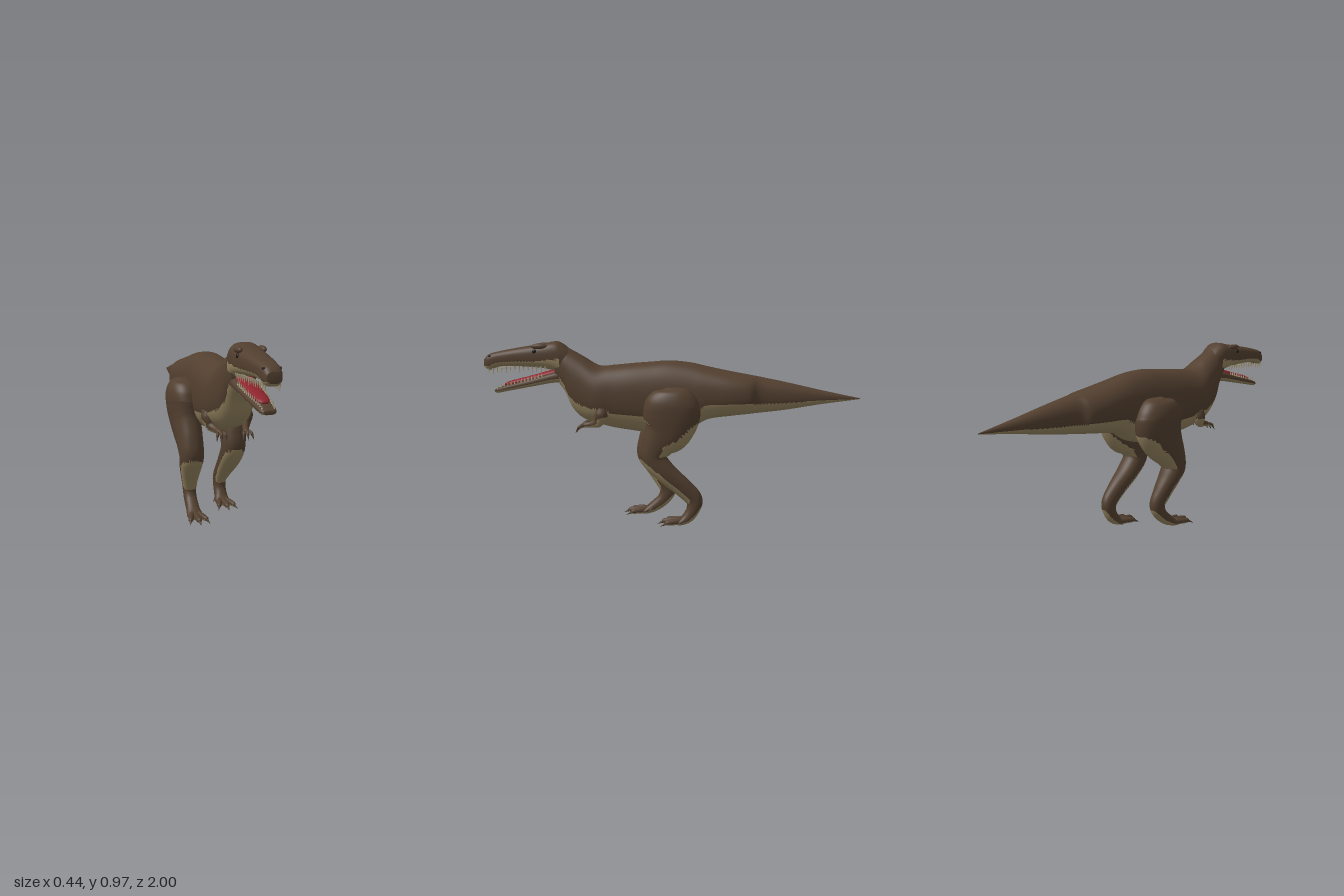
import * as THREE from 'three';

const mat = (name, color) => Object.assign(new THREE.MeshStandardMaterial({ color }), { name });

export function createModel() {
  const hide = mat('brown hide', 0x523f2f);
  const belly = mat('tan belly', 0x94835f);
  const tongueRed = mat('tongue red', 0x8c242c);
  const ivory = mat('tooth ivory', 0xb3a88a);
  const dark = mat('eye black', 0x1a1411);
  const clawMat = mat('claw brown', 0x4a3b2d);
  const model = new THREE.Group();
  model.name = 'dinosaur';

  const add = (parent, name, geo, material) => {
    const m = new THREE.Mesh(geo, material);
    m.name = name;
    parent.add(m);
    return m;
  };
  const group = (name) => {
    const g = new THREE.Group();
    g.name = name;
    model.add(g);
    return g;
  };

  // Smooth skin through sections [x, y, z, half width, half depth];
  // faces for which isPale(normal, point) holds go into the second colour group.
  const under = (n) => n.y < -0.28;
  function loft(sections, { steps = 40, sides = 32, power = 1, upright = false, isPale = under } = {}) {
    const path = new THREE.CatmullRomCurve3(sections.map(s => new THREE.Vector3(s[0], s[1], s[2])), false, 'catmullrom', 0.5);
    const size = new THREE.CatmullRomCurve3(sections.map(s => new THREE.Vector3(s[3], s[4], 0)), false, 'catmullrom', 0.5);
    const X = new THREE.Vector3(1, 0, 0), pos = [], idx = [];
    const bend = v => Math.sign(v) * Math.abs(v) ** power;
    for (let i = 0; i <= steps; i++) {
      const t = i / steps, c = path.getPoint(t), s = size.getPoint(t);
      const U = upright ? new THREE.Vector3(0, 1, 0) : path.getTangent(t).cross(X).normalize();
      for (let j = 0; j < sides; j++) {
        const a = j / sides * Math.PI * 2;
        const p = c.clone().addScaledVector(X, Math.max(s.x, 0.001) * bend(Math.cos(a)))
          .addScaledVector(U, Math.max(s.y, 0.001) * bend(Math.sin(a)));
        pos.push(p.x, p.y, p.z);
        if (i < steps) {
          const k = (j + 1) % sides, A = i * sides + j, B = i * sides + k;
          idx.push(A, B, A + sides, B, B + sides, A + sides);
        }
      }
    }
    // end caps
    const n = (steps + 1) * sides, last = steps * sides;
    pos.push(...sections[0].slice(0, 3), ...sections[sections.length - 1].slice(0, 3));
    for (let j = 0; j < sides; j++) {
      const k = (j + 1) % sides;
      idx.push(n, k, j, n + 1, last + j, last + k);
    }
    const geo = new THREE.BufferGeometry();
    geo.setAttribute('position', new THREE.Float32BufferAttribute(pos, 3));
    geo.setIndex(idx);
    geo.computeVertexNormals();
    const P = geo.attributes.position, N = geo.attributes.normal, sets = [[], []];
    const mid = (attr, f) => f.reduce((v, i) => v.add(new THREE.Vector3().fromBufferAttribute(attr, i)), new THREE.Vector3()).divideScalar(3);
    for (let i = 0; i < idx.length; i += 3) {
      const f = idx.slice(i, i + 3);
      sets[isPale(mid(N, f), mid(P, f)) ? 1 : 0].push(...f);
    }
    geo.setIndex([...sets[0], ...sets[1]]);
    geo.addGroup(0, sets[0].length, 0);
    geo.addGroup(sets[0].length, sets[1].length, 1);
    return geo;
  }
  // Upright section rows: [z, top, bottom, half width]
  const rows = list => list.map(([z, t, b, w]) => [0, (t + b) / 2, z, w, (t - b) / 2]);
  const skin = [hide, belly];

  // Tail, trunk and neck
  add(model, 'body', loft(rows([
    [-1, 0.677, 0.673, 0.001], [-0.8, 0.718, 0.645, 0.032], [-0.61, 0.76, 0.613, 0.06], [-0.48, 0.786, 0.597, 0.079],
    [-0.42, 0.797, 0.59, 0.112], [-0.32, 0.815, 0.578, 0.125], [-0.2, 0.84, 0.558, 0.122], [-0.11, 0.86, 0.505, 0.12],
    [0, 0.87, 0.48, 0.12], [0.1, 0.863, 0.482, 0.122], [0.2, 0.855, 0.495, 0.124], [0.3, 0.845, 0.51, 0.124],
    [0.38, 0.842, 0.53, 0.124], [0.46, 0.887, 0.555, 0.105], [0.52, 0.92, 0.61, 0.09], [0.56, 0.938, 0.695, 0.076],
    [0.61, 0.93, 0.765, 0.06],
  ]), { steps: 112, sides: 56, power: 0.87, upright: true }), skin);

  // Head
  const head = group('head');
  add(head, 'skull', loft(rows([
    [0.52, 0.91, 0.78, 0.06], [0.57, 0.952, 0.79, 0.071], [0.61, 0.969, 0.81, 0.074], [0.68, 0.957, 0.825, 0.071],
    [0.81, 0.936, 0.835, 0.06], [0.92, 0.915, 0.833, 0.049], [0.975, 0.9, 0.815, 0.043], [1, 0.877, 0.828, 0.032],
  ]), { steps: 56, sides: 48, power: 0.72, upright: true,
    isPale: (n, p) => under(n) || (p.z > 0.58 && p.y < 0.835 + (0.96 - p.z) * 0.12) }), skin);
  add(head, 'lowerJaw', loft(rows([
    [0.55, 0.82, 0.745, 0.055], [0.62, 0.808, 0.748, 0.063], [0.75, 0.77, 0.725, 0.055],
    [0.88, 0.735, 0.7, 0.044], [0.93, 0.719, 0.69, 0.037], [0.948, 0.71, 0.693, 0.026],
  ]), { steps: 36, power: 0.75, upright: true }), skin);
  add(head, 'tongue', loft(rows([
    [0.58, 0.83, 0.79, 0.035], [0.65, 0.813, 0.775, 0.042], [0.76, 0.782, 0.75, 0.038], [0.86, 0.757, 0.73, 0.031],
    [0.895, 0.742, 0.728, 0.015],
  ]), { steps: 20, sides: 20, upright: true }), [tongueRed, tongueRed]);

  const ball = new THREE.SphereGeometry(1, 16, 12);
  for (const s of [-1, 1]) {
    const brow = add(head, 'brow', ball, hide);
    brow.position.set(s * 0.056, 0.943, 0.69);
    brow.scale.set(0.016, 0.016, 0.045);
    const eye = add(head, 'eye', ball, dark);
    eye.position.set(s * 0.063, 0.917, 0.715);
    eye.scale.set(0.009, 0.011, 0.012);
    const nostril = add(head, 'nostril', ball, dark);
    nostril.position.set(s * 0.036, 0.89, 0.966);
    nostril.scale.set(0.007, 0.006, 0.009);

    // Teeth along both jaws
    for (let i = 0; i < 14; i++) {
      const f = i / 13, len = 0.026 + 0.012 * Math.abs(Math.sin(i * 1.9));
      const upper = add(head, 'upperTooth', new THREE.ConeGeometry(0.006, len, 6), ivory);
      upper.position.set(s * (0.053 - 0.021 * f), 0.832 - 0.014 * f ** 3 - len / 2 + 0.005, 0.66 + 0.315 * f);
      upper.rotation.x = Math.PI;
      const lower = add(head, 'lowerTooth', new THREE.ConeGeometry(0.005, len * 0.8, 6), ivory);
      lower.position.set(s * (0.051 - 0.024 * f), 0.785 - 0.072 * f + len * 0.32, 0.68 + 0.25 * f);
    }
  }

  // A claw from one point towards another
  const claw = (parent, from, to, r) => {
    const a = new THREE.Vector3(...from), d = new THREE.Vector3(...to).sub(a);
    const m = add(parent, 'claw', new THREE.ConeGeometry(r, d.length(), 8), clawMat);
    m.position.copy(a).addScaledVector(d, 0.5);
    m.quaternion.setFromUnitVectors(new THREE.Vector3(0, 1, 0), d.normalize());
  };

  // Hind legs: [x, y, z, half width, half depth, forward shift of the leading leg]
  const legRows = [
    [0.13, 0.737, -0.03, 0.03, 0.04, 0.02], [0.134, 0.715, -0.03, 0.067, 0.1, 0.02], [0.136, 0.66, -0.025, 0.085, 0.14, 0.02],
    [0.134, 0.59, -0.018, 0.084, 0.148, 0.02], [0.13, 0.51, 0.005, 0.076, 0.128, 0.03], [0.125, 0.435, 0.055, 0.068, 0.088, 0.045],
    [0.122, 0.365, 0.072, 0.064, 0.066, 0.055], [0.12, 0.29, 0.015, 0.06, 0.056, 0.085], [0.114, 0.21, -0.075, 0.046, 0.05, 0.125],
    [0.108, 0.145, -0.135, 0.036, 0.046, 0.155], [0.108, 0.09, -0.133, 0.034, 0.036, 0.175],
    [0.108, 0.045, -0.105, 0.036, 0.03, 0.2], [0.108, 0.022, -0.07, 0.042, 0.02, 0.21], [0.108, 0.017, -0.045, 0.036, 0.014, 0.21],
  ];
  for (const s of [-1, 1]) {
    const lead = s < 0 ? 1 : 0, leg = group(s > 0 ? 'leftLeg' : 'rightLeg');
    add(leg, 'leg', loft(legRows.map(([x, y, z, a, b, d]) => [s * x, y - (lead && y > 0.3 && y < 0.5 ? 0.02 : 0), z + lead * d, a, b]),
      { steps: 90, sides: 44, power: 0.92 }), skin);
    const zf = -0.075 + lead * 0.21;
    for (const t of [-1, 0, 1]) {
      const x = s * 0.108, reach = t ? 0 : 0.02;
      add(leg, 'toe', loft([
        [x + t * 0.018, 0.026, zf, 0.016, 0.018], [x + t * 0.03, 0.024, zf + 0.04 + reach, 0.016, 0.017],
        [x + t * 0.04, 0.021, zf + 0.075 + reach, 0.013, 0.014], [x + t * 0.043, 0.019, zf + 0.088 + reach, 0.006, 0.007],
      ], { steps: 12, sides: 14 }), skin);
      claw(leg, [x + t * 0.04, 0.022, zf + 0.075 + reach], [x + t * 0.055, 0.003, zf + 0.115 + reach], 0.01);
    }
    claw(leg, [s * 0.08, 0.04, zf - 0.03], [s * 0.055, 0.012, zf - 0.01], 0.01);

    // Small arms with clawed hands
    const arm = group(s > 0 ? 'leftArm' : 'rightArm');
    add(arm, 'arm', loft([
      [s * 0.102, 0.625, 0.35, 0.02, 0.028], [s * 0.104, 0.585, 0.355, 0.028, 0.034], [s * 0.092, 0.545, 0.375, 0.022, 0.026],
      [s * 0.076, 0.533, 0.415, 0.016, 0.017], [s * 0.067, 0.527, 0.45, 0.017, 0.014], [s * 0.065, 0.52, 0.465, 0.012, 0.009],
    ], { steps: 28, sides: 20 }), skin);
    for (const t of [-1, 0, 1]) {
      const x = s * 0.066;
      add(arm, 'finger', loft([
        [x + t * 0.008, 0.528, 0.445, 0.008, 0.009], [x + t * 0.018, 0.522, 0.472, 0.008, 0.009], [x + t * 0.021, 0.51, 0.484, 0.006, 0.006],
      ], { steps: 8, sides: 10 }), skin);
      claw(arm, [x + t * 0.021, 0.515, 0.481], [x + t * 0.027, 0.487, 0.496], 0.007);
    }
  }
  return model;
}
